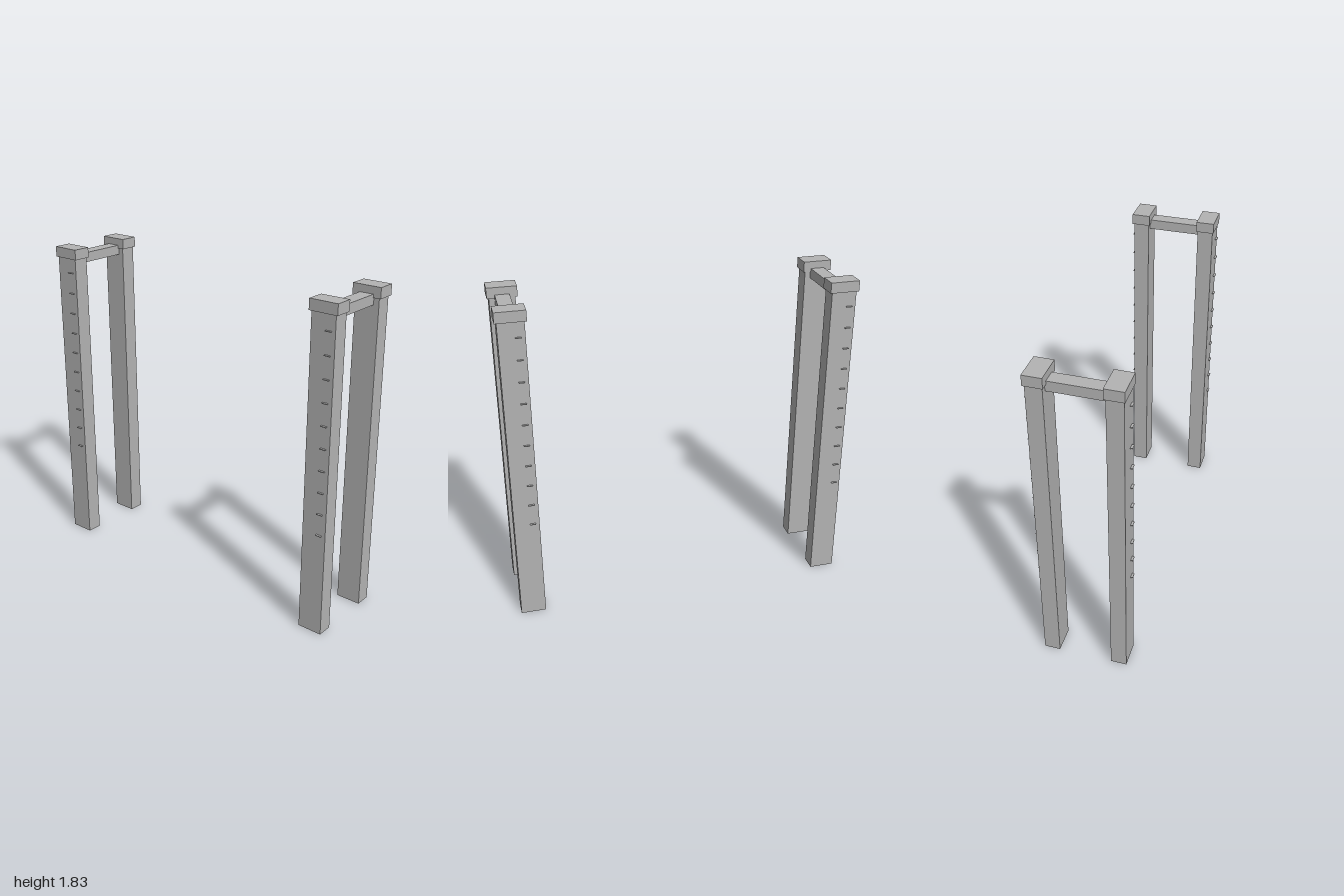
import * as THREE from 'three';

const stone = new THREE.MeshStandardMaterial({ color: 0xb3b3b3, side: THREE.DoubleSide });
stone.name = 'grey stone';

function box(name, w, h, d, x, y, z) {
  const mesh = new THREE.Mesh(new THREE.BoxGeometry(w, h, d), stone);
  mesh.name = name;
  mesh.position.set(x, y, z);
  return mesh;
}

// Hollow post: four walls, open at the foot and under the cap
function hollowPost(w, h, d) {
  const post = box('post', w, h, d, 0, h / 2, 0);
  const index = Array.from(post.geometry.index.array);
  index.splice(12, 12); // drop top and bottom faces
  post.geometry.setIndex(index);
  post.geometry.clearGroups();
  return post;
}

// One post with its cap and the column of small rungs on the outer face
function createPillar() {
  const pillar = new THREE.Group();
  pillar.name = 'pillar';
  pillar.add(hollowPost(0.14, 1.767, 0.088));
  pillar.add(box('cap', 0.163, 0.059, 0.102, 0, 1.796, 0));
  for (let i = 0; i < 10; i++) {
    pillar.add(box('rung', 0.032, 0.004, 0.012, 0.033, 0.59 + i * 0.1215, 0.05));
  }
  return pillar;
}

// Two pillars back to back, joined by a beam
function createGate() {
  const gate = new THREE.Group();
  gate.name = 'gate';
  for (const side of [1, -1]) {
    const pillar = createPillar();
    pillar.position.z = side * 0.193;
    if (side < 0) pillar.rotation.y = Math.PI;
    gate.add(pillar);
  }
  gate.add(box('beam', 0.078, 0.056, 0.298, 0, 1.757, 0));
  return gate;
}

export function createModel() {
  const model = new THREE.Group();
  model.name = 'gatePair';
  for (const side of [1, -1]) {
    const gate = createGate();
    gate.position.set(side * 0.876, 0, side * -0.154);
    gate.rotation.y = THREE.MathUtils.degToRad(10);
    model.add(gate);
  }
  return model;
}
